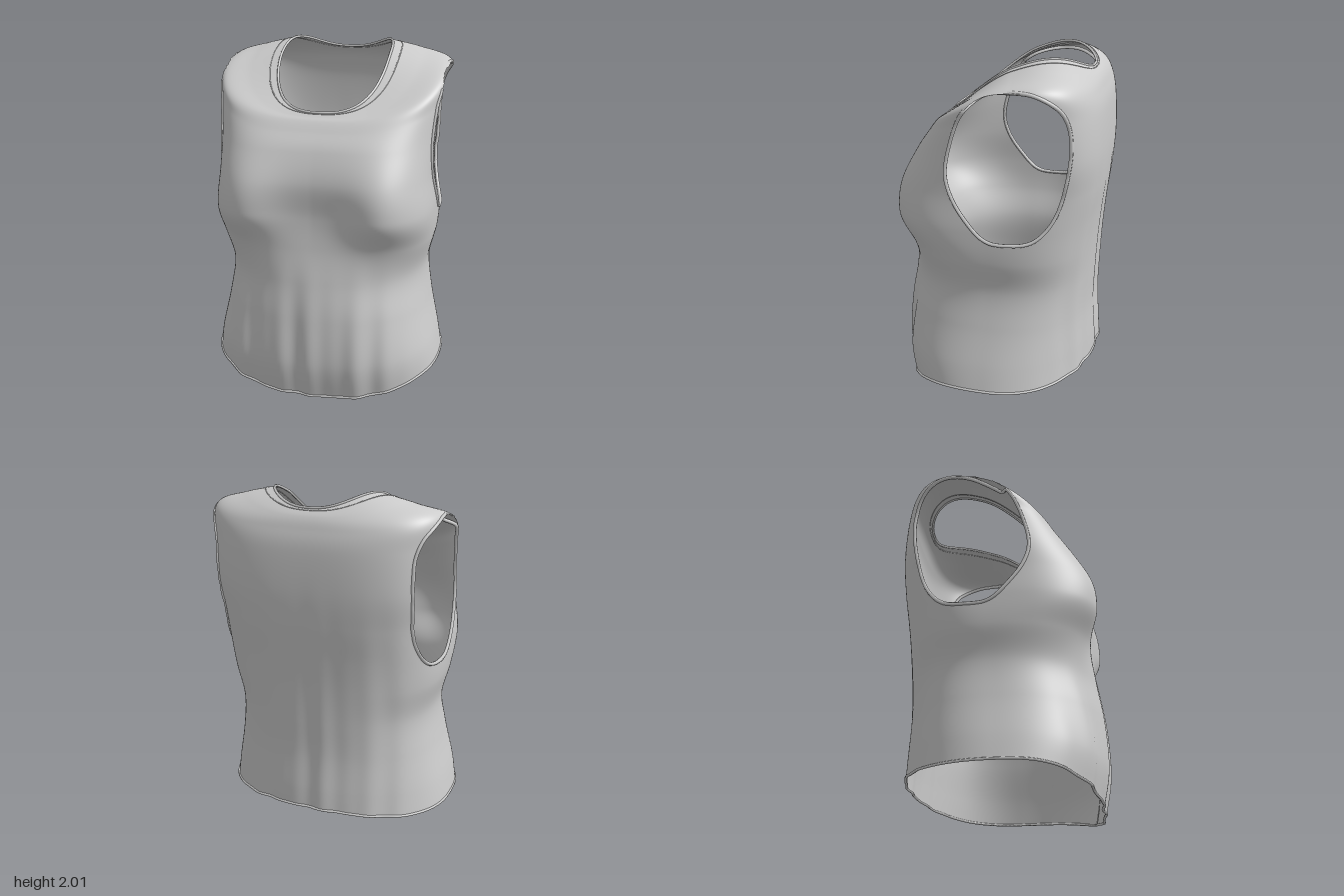
import * as THREE from 'three';

const { smoothstep, lerp } = THREE.MathUtils;

// Body rings from hem to neckline:
// half width, front z, back z, centre z, y at front / side / back, roundness front / back,
// y falloff, backward rise
const RINGS = [
  [0.70, 0.555, -0.56, 0.0, 0.01, 0.13, 0.17, 2.65, 2.2, 3.4, 0],
  [0.675, 0.592, -0.555, 0.0, 0.22, 0.27, 0.28, 2.6, 2.25, 3, 0],
  [0.625, 0.585, -0.54, 0.0, 0.5, 0.5, 0.5, 2.4, 2.45, 2, 0],
  [0.60, 0.557, -0.545, 0.0, 0.72, 0.72, 0.72, 2.25, 2.6, 2, 0],
  [0.64, 0.522, -0.555, -0.02, 0.92, 0.92, 0.92, 2.75, 2.65, 2, 0],
  [0.648, 0.505, -0.57, -0.05, 1.1, 1.1, 1.1, 3.6, 2.8, 2, 0],
  [0.64, 0.515, -0.59, -0.09, 1.3, 1.3, 1.3, 3.3, 3.15, 2, 0],
  [0.655, 0.465, -0.597, -0.12, 1.47, 1.5, 1.5, 3.0, 3.5, 2, 0],
  [0.67, 0.40, -0.585, -0.14, 1.57, 1.73, 1.72, 2.9, 3.3, 2, 0.02],
  [0.67, 0.362, -0.558, -0.16, 1.62, 1.885, 1.83, 2.75, 3.0, 2, 0.06],
  [0.50, 0.335, -0.53, -0.13, 1.64, 1.925, 1.89, 2.6, 2.7, 1.95, 0.12],
  [0.325, 0.31, -0.488, -0.1, 1.66, 1.95, 1.93, 2.45, 2.4, 1.85, 0.15],
];

function ringAt(t) {
  const f = t * (RINGS.length - 1);
  const i = Math.min(Math.floor(f), RINGS.length - 2), u = f - i;
  const key = (k) => RINGS[Math.max(0, Math.min(RINGS.length - 1, k))];
  return RINGS[0].map((_, j) => {
    const a = key(i - 1)[j], b = key(i)[j], c = key(i + 1)[j], d = key(i + 2)[j];
    return b + 0.5 * u * (c - a + u * (2 * a - 5 * b + 4 * c - d + u * (3 * (b - c) + d - a)));
  });
}

// Point on the cloth: a around the body from the left side to the front, t from hem to neck
function clothPoint(a, t) {
  const [w, zf, zb, zc, yf, ys, yb, nf, nb, falloff, rise] = ringAt(t);
  const c = Math.cos(a), s = Math.sin(a), front = s > 0;
  const n = front ? nf : nb;
  const r = (Math.abs(c) ** n + Math.abs(s) ** n) ** (-1 / n);
  const q = Math.abs(s * r);
  const x = w * c * r;
  const y = lerp(ys, front ? yf : yb, q ** falloff) - rise * s * r * (1 - q * q);
  let z = zc + ((front ? zf : zb) - zc) * q;
  // bust
  if (front) {
    const dx = (Math.abs(x) - 0.42) / (Math.abs(x) > 0.42 ? 0.25 : 0.21);
    const dy = (y - 1.12) / (y > 1.12 ? 0.32 : 0.16);
    z += 0.092 * Math.exp(-dx * dx - dy * dy) * smoothstep(s, 0, 0.45);
  }
  // soft hanging folds
  const fade = 1 - smoothstep(y, 0.3, front ? 0.95 : 1.7);
  const depth = (front ? 0.007 : 0.0045) * fade * smoothstep(q, 0.3, 0.9);
  z += depth * (Math.sin(27 * x + 1) + 0.6 * Math.sin(43 * x + 2));
  return new THREE.Vector3(x, y, z);
}

// Armhole outline in side elevation (z, y), as radius against angle
const ARM_Z = -0.13, ARM_Y = 1.47;
const armCurve = new THREE.CatmullRomCurve3([
  [-0.02, 1.06], [0.1, 1.18], [0.175, 1.3], [0.205, 1.42], [0.17, 1.6], [0.1, 1.76],
  [0, 1.85], [-0.15, 1.888], [-0.3, 1.88], [-0.42, 1.8], [-0.47, 1.65], [-0.45, 1.4],
  [-0.38, 1.18], [-0.28, 1.07], [-0.15, 1.045],
].map(([z, y]) => new THREE.Vector3(0, y, z)), true);
const armPolar = armCurve.getPoints(400)
  .map((p) => [Math.atan2(p.y - ARM_Y, p.z - ARM_Z), Math.hypot(p.y - ARM_Y, p.z - ARM_Z)])
  .sort((a, b) => a[0] - b[0]);

function armRadius(angle) {
  let lo = 0, hi = armPolar.length - 1;
  if (angle <= armPolar[0][0] || angle >= armPolar[hi][0]) return armPolar[0][1];
  while (hi - lo > 1) {
    const mid = (lo + hi) >> 1;
    if (armPolar[mid][0] <= angle) lo = mid; else hi = mid;
  }
  const [a0, r0] = armPolar[lo], [a1, r1] = armPolar[hi];
  return a1 - a0 < 1e-9 ? r0 : lerp(r0, r1, (angle - a0) / (a1 - a0));
}

export function createModel() {
  const group = new THREE.Group();
  group.name = 'sleevelessTop';
  const material = new THREE.MeshStandardMaterial({ color: 0xcccccc, side: THREE.DoubleSide });
  const add = (geometry, name) => {
    const mesh = new THREE.Mesh(geometry, material);
    mesh.name = name;
    group.add(mesh);
  };

  // Cloth shell, with points inside an armhole pulled out to its edge
  const COLS = 240, ROWS = 150, BINS = 48;
  const positions = [], inside = [], indices = [];
  const edgeX = Array.from({ length: BINS }, () => [0, 0]);
  for (let j = 0; j <= ROWS; j++) {
    for (let i = 0; i < COLS; i++) {
      const p = clothPoint((i / COLS) * Math.PI * 2, j / ROWS);
      const dz = p.z - ARM_Z, dy = p.y - ARM_Y;
      const angle = Math.atan2(dy, dz), dist = Math.hypot(dy, dz), rim = armRadius(angle);
      const side = Math.abs(p.x) > 0.45;
      const cut = side && dist < rim;
      if (side && Math.abs(dist / rim - 1) < 0.06) {
        const bin = edgeX[Math.floor((angle / (2 * Math.PI) + 0.5) * BINS) % BINS];
        bin[0] += Math.abs(p.x);
        bin[1]++;
      }
      if (cut) {
        p.z = ARM_Z + Math.cos(angle) * rim;
        p.y = ARM_Y + Math.sin(angle) * rim;
      }
      inside.push(cut);
      positions.push(p.x, p.y, p.z);
    }
  }
  const face = (a, b, c) => {
    if (!(inside[a] && inside[b] && inside[c])) indices.push(a, b, c);
  };
  for (let j = 0; j < ROWS; j++) {
    for (let i = 0; i < COLS; i++) {
      const a = j * COLS + i, b = j * COLS + ((i + 1) % COLS);
      face(a, a + COLS, b);
      face(b, a + COLS, b + COLS);
    }
  }
  const cloth = new THREE.BufferGeometry();
  cloth.setAttribute('position', new THREE.Float32BufferAttribute(positions, 3));
  cloth.setIndex(indices);
  cloth.computeVertexNormals();
  add(cloth, 'bodyCloth');

  // Rolled edges at the hem, neckline and armholes
  const binding = (points, radius, name) => add(
    new THREE.TubeGeometry(new THREE.CatmullRomCurve3(points, true), 160, radius, 6, true), name);
  const ringPoints = (t) => Array.from({ length: 80 }, (_, i) => clothPoint((i / 80) * Math.PI * 2, t));
  binding(ringPoints(0), 0.008, 'hemEdge');
  binding(ringPoints(1), 0.008, 'necklineEdge');
  binding(ringPoints(0.965), 0.003, 'necklineSeam');
  for (const [sign, name] of [[1, 'leftArmholeEdge'], [-1, 'rightArmholeEdge']]) {
    const points = [];
    edgeX.forEach(([sum, count], k) => {
      if (!count) return;
      const angle = ((k + 0.5) / BINS - 0.5) * 2 * Math.PI, r = armRadius(angle);
      points.push(new THREE.Vector3(sign * sum / count, ARM_Y + Math.sin(angle) * r, ARM_Z + Math.cos(angle) * r));
    });
    binding(points, 0.011, name);
  }
  return group;
}
